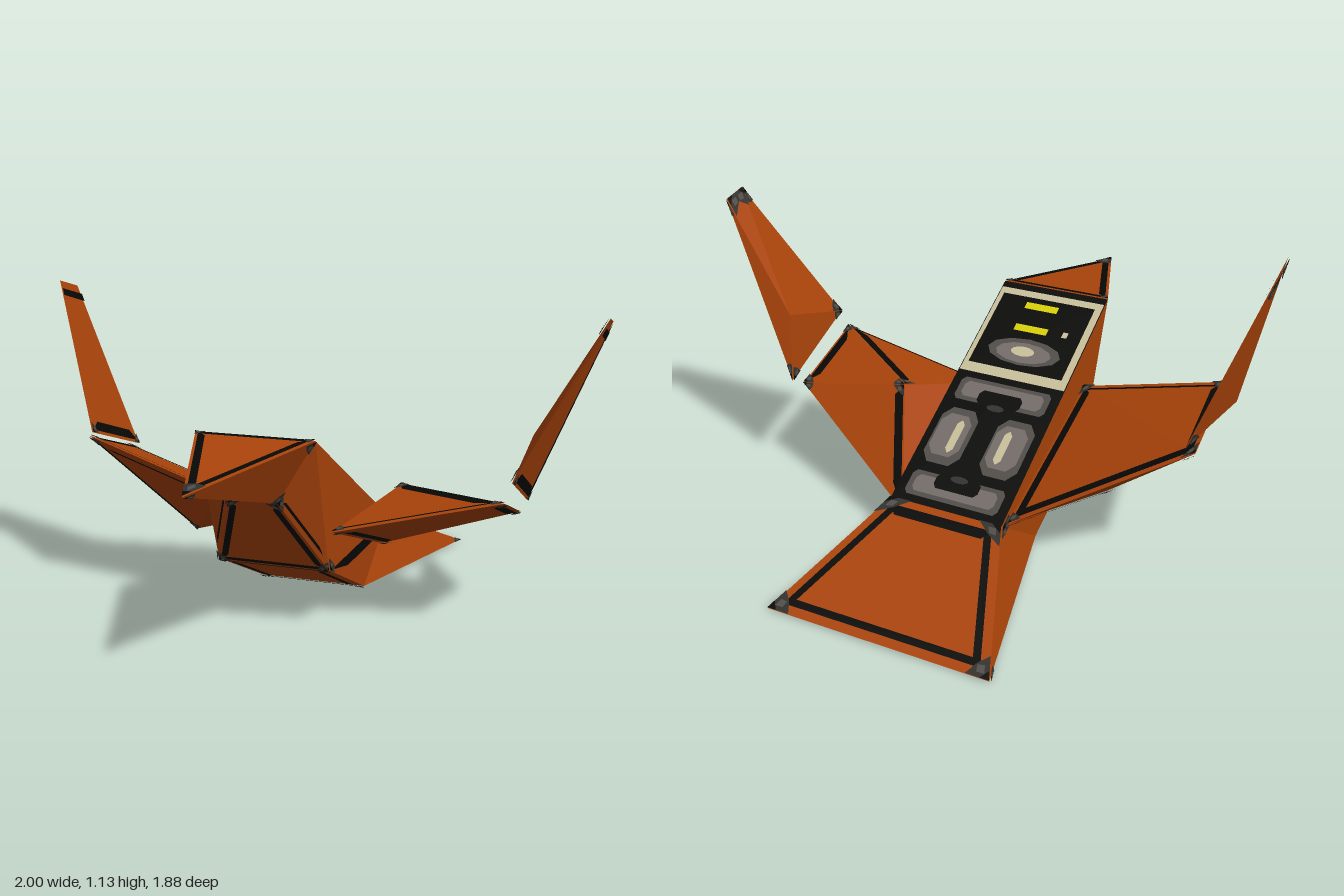
import * as THREE from 'three';

const mat = (name, color) => {
  const m = new THREE.MeshStandardMaterial({ color });
  m.name = name;
  return m;
};
const V = (x, y, z) => new THREE.Vector3(x, y, z);

export function createModel() {
  const orange = mat('orange paint', 0xab440a);
  const black = mat('black trim', 0x080807);
  const darkGrey = mat('dark grey', 0x32312d);
  const midGrey = mat('middle grey', 0x514d49);
  const grey = mat('grey', 0x746c68);
  const cream = mat('cream', 0xc8be9a);
  const yellow = mat('yellow', 0xd8ce06);

  const root = new THREE.Group();
  root.name = 'glider';

  // normal of a polygon, pointing away from the centre of its part
  const outward = (pts, centre) => {
    const n = pts[1].clone().sub(pts[0]).cross(pts[2].clone().sub(pts[0])).normalize();
    return n.dot(pts[0].clone().sub(centre)) < 0 ? n.negate() : n;
  };

  // flat convex polygon, wound outward and raised by h
  function polygon(parent, name, material, pts, n, h = 0) {
    const own = pts[1].clone().sub(pts[0]).cross(pts[2].clone().sub(pts[0]));
    const p = (own.dot(n) < 0 ? [...pts].reverse() : pts).map(v => v.clone().addScaledVector(n, h));
    const corners = [];
    for (let i = 1; i < p.length - 1; i++) corners.push(p[0], p[i], p[i + 1]);
    const g = new THREE.BufferGeometry().setFromPoints(corners);
    g.computeVertexNormals();
    const mesh = new THREE.Mesh(g, material);
    mesh.name = name;
    parent.add(mesh);
  }

  // point at distance d inside both edges meeting at corner i
  function inset(pts, i, d) {
    const k = pts.length, p = pts[i % k];
    const a = pts[(i + 1) % k].clone().sub(p).normalize();
    const b = pts[(i + k - 1) % k].clone().sub(p).normalize();
    const sin = a.clone().cross(b).length();
    return p.clone().addScaledVector(a.add(b), d / sin);
  }

  // black strips parallel to the chosen edges, from distance d0 to d1
  function border(parent, pts, n, d0, d1, edges = pts.map((_, i) => i)) {
    for (const i of edges) {
      polygon(parent, 'trim strip', black,
        [inset(pts, i, d0), inset(pts, i + 1, d0), inset(pts, i + 1, d1), inset(pts, i, d1)], n, 0.004);
    }
  }

  // corner plates: black tip, dark body and a grey spot
  function cornerCaps(parent, pts, n, size, which = pts.map((_, i) => i)) {
    const k = pts.length;
    for (const i of which) {
      const p = pts[i];
      const a = pts[(i + 1) % k].clone().sub(p).normalize();
      const b = pts[(i + k - 1) % k].clone().sub(p).normalize();
      const at = (s, t) => p.clone().addScaledVector(a, s * size).addScaledVector(b, t * size);
      polygon(parent, 'corner cap', darkGrey, [p, at(1, 0), at(0.55, 0.55), at(0, 1)], n, 0.005);
      polygon(parent, 'corner tip', black, [p, at(0.4, 0), at(0, 0.4)], n, 0.006);
      polygon(parent, 'corner spot', midGrey, [at(0.2, 0.2), at(0.55, 0.2), at(0.5, 0.5), at(0.2, 0.55)], n, 0.007);
    }
  }

  // painted shape given in the 0..1 coordinates of a quad
  function patch(parent, name, material, quad, n, shape, h) {
    const pts = shape.map(([u, v]) => quad[0].clone().lerp(quad[1], u)
      .lerp(quad[3].clone().lerp(quad[2], u), v));
    polygon(parent, name, material, pts, n, h);
  }
  const rect = (a, b, c, d) => [[a, b], [c, b], [c, d], [a, d]];
  const cut = (a, b, c, d, r = 0.03) => [[a + r, b], [c - r, b], [c, b + r], [c, d - r],
    [c - r, d], [a + r, d], [a, d - r], [a, b + r]];
  const oval = (x, y, rx, ry) => Array.from({ length: 12 }, (_, i) =>
    [x + rx * Math.cos(i * Math.PI / 6), y + ry * Math.sin(i * Math.PI / 6)]);

  // paired machinery cells, shared by the deck and the belly
  function machinery(parent, quad, n, v0, v1) {
    const add = (name, m, s, h) =>
      patch(parent, name, m, quad, n, s.map(([u, t]) => [u, v0 + t * (v1 - v0)]), h);
    for (const t of [0.06, 0.81]) {
      add('vent surround', midGrey, cut(0.08, t - 0.01, 0.92, t + 0.17), 0.002);
      add('vent', grey, cut(0.13, t + 0.02, 0.87, t + 0.14), 0.004);
      const s = t < 0.5 ? t + 0.07 : t - 0.02;
      add('vent slot', black, cut(0.3, s, 0.7, s + 0.11), 0.006);
    }
    for (const u of [0.24, 0.76]) {
      add('cell surround', midGrey, cut(u - 0.17, 0.3, u + 0.17, 0.73, 0.07), 0.003);
      add('cell', grey, cut(u - 0.13, 0.36, u + 0.15, 0.68, 0.06), 0.005);
      const c = u < 0.5 ? u + 0.04 : u - 0.04;
      add('cell light', cream, cut(c - 0.035, 0.39, c + 0.035, 0.64), 0.007);
    }
    for (const t of [0.22, 0.78]) add('rivet', darkGrey, oval(0.5, t, 0.08, 0.025), 0.008);
  }

  // ---- hull ----
  const hull = new THREE.Group();
  hull.name = 'hull';
  root.add(hull);
  const cx = -0.058;
  const mid = V(cx, 0.43, 0);
  const pair = (w, y, z) => [V(cx - w, y, z), V(cx + w, y, z)];
  const N = V(cx, 0.64, 0.935);
  const A = pair(0.207, 0.70, 0.38);   // nose back, top
  const C = pair(0.085, 0.49, 0.40);   // nose back, bottom
  const D = pair(0.2, 0.22, 0.22);     // chin
  const E = pair(0.2, 0.025, -0.2);    // keel
  const G = pair(0.207, 0.225, -0.48); // tail root
  const H = pair(0.397, 0.008, -0.94); // tail end
  const band = (p, q) => [p[0], p[1], q[1], q[0]];

  function panel(name, pts, material = orange, centre = mid) {
    const n = outward(pts, centre);
    polygon(hull, name, material, pts, n);
    return n;
  }
  const noseTop = [A[0], A[1], N];
  let n = panel('noseTop', noseTop);
  border(hull, noseTop, n, 0.002, 0.022, [0]);
  border(hull, noseTop, n, 0.01, 0.034, [1, 2]);
  cornerCaps(hull, noseTop, n, 0.035, [0, 1]);
  cornerCaps(hull, noseTop, n, 0.1, [2]);
  const noseBottom = [C[0], C[1], N];
  n = panel('noseBottom', noseBottom);
  cornerCaps(hull, noseBottom, n, 0.05);

  const neck = band(C, D);
  n = panel('neckFront', neck);
  border(hull, neck, n, 0.008, 0.03, [1, 3]);
  border(hull, neck, n, 0.004, 0.018, [2]);
  cornerCaps(hull, neck, n, 0.04);

  const chin = band(D, E);
  n = panel('chinPanel', chin);
  border(hull, chin, n, 0.03, 0.055, [1, 3]);
  border(hull, chin, n, 0.004, 0.022, [0, 2]);
  cornerCaps(hull, chin, n, 0.04);

  const tail = band(G, H);
  n = panel('tailTop', tail);
  border(hull, tail, n, 0.03, 0.055, [1, 2, 3]);
  border(hull, tail, n, 0.028, 0.065, [0]);
  cornerCaps(hull, tail, n, 0.08);

  for (const i of [0, 1]) {
    const noseSide = [A[i], C[i], N];
    n = panel('noseSide', noseSide);
    cornerCaps(hull, noseSide, n, 0.05);
    const neckSide = [A[i], C[i], D[i]];
    n = panel('neckSide', neckSide);
    border(hull, neckSide, n, 0.015, 0.024, [1]);
    cornerCaps(hull, neckSide, n, 0.035, [1, 2]);
    const bodySide = [A[i], G[i], D[i]];
    n = panel('bodySide', bodySide);
    cornerCaps(hull, bodySide, n, 0.05, [1, 2]);
    const lower = [D[i], G[i], E[i]];
    n = panel('lowerSide', lower);
    border(hull, lower, n, 0.004, 0.045, [0]);
    cornerCaps(hull, lower, n, 0.05, [0, 1]);
    const tailSide = [G[i], E[i], H[i]];
    n = panel('tailSide', tailSide, orange, V(cx, 0.12, -0.5));
    cornerCaps(hull, tailSide, n, 0.05, [0, 2]);
  }

  // deck with machinery behind and cockpit in front
  const deck = band(G, A);
  n = panel('deck', deck, black);
  machinery(hull, deck, n, 0.0, 0.55);
  patch(hull, 'cockpitFrame', cream, deck, n, rect(0.005, 0.565, 0.99, 0.97), 0.003);
  patch(hull, 'cockpitPanel', black, deck, n, rect(0.065, 0.605, 0.945, 0.94), 0.005);
  patch(hull, 'canopyRim', midGrey, deck, n, oval(0.5, 0.69, 0.34, 0.06), 0.006);
  patch(hull, 'canopy', grey, deck, n, oval(0.5, 0.685, 0.26, 0.045), 0.0075);
  patch(hull, 'canopyGlint', cream, deck, n, oval(0.51, 0.69, 0.11, 0.022), 0.009);
  for (const v of [0.78, 0.885]) {
    patch(hull, 'light bar', yellow, deck, n, rect(0.38, v, 0.69, v + 0.03), 0.007);
  }
  patch(hull, 'button', cream, deck, n, rect(0.19, 0.785, 0.24, 0.81), 0.007);

  // belly
  const belly = band(H, E);
  n = panel('belly', belly, black);
  machinery(hull, belly, n, 0.05, 0.95);

  // wing or fin: one flat quad with a peak on the other side
  function wedge(name, quad, peak) {
    const group = new THREE.Group();
    group.name = name;
    root.add(group);
    const centre = quad.reduce((s, p) => s.add(p), peak.clone()).multiplyScalar(0.2);
    const face = (label, pts) => {
      const normal = outward(pts, centre);
      polygon(group, label, orange, pts, normal);
      return { pts, normal };
    };
    const flat = face('flatSide', quad);
    const facets = quad.map((p, i) => face('facet', [p, quad[(i + 1) % 4], peak]));
    const trim = (f, d0, d1, edges) => border(group, f.pts, f.normal, d0, d1, edges);
    const caps = (f, size, which) => cornerCaps(group, f.pts, f.normal, size, which);
    return { group, flat, facets, trim, caps };
  }

  // quad order: root back, root front, tip front, tip back
  const leftWing = wedge('leftWing', [V(0.15, 0.13, -0.41), V(0.15, 0.35, 0.21),
    V(0.718, 0.49, 0.165), V(0.718, 0.38, -0.15)], V(0.30, 0.45, -0.12));
  leftWing.trim(leftWing.flat, 0.03, 0.065, [0]);
  leftWing.trim(leftWing.flat, 0.012, 0.045, [2]);
  leftWing.trim(leftWing.facets[1], 0.012, 0.02, [0]);
  const rightWing = wedge('rightWing', [V(-0.265, 0.21, -0.44), V(-0.265, 0.44, 0.18),
    V(-0.795, 0.595, 0.13), V(-0.805, 0.49, -0.2)], V(-0.48, 0.215, -0.1));
  rightWing.trim(rightWing.flat, 0.014, 0.042, [0, 2, 3]);
  rightWing.trim(rightWing.flat, 0.018, 0.026, [1]);
  rightWing.trim(rightWing.facets[1], 0.03, 0.04, [0]);
  for (const [w, width] of [[leftWing, 0.036], [rightWing, 0.018]]) {
    // ridge lines and tip strip on the peaked side
    w.trim(w.facets[1], 0.004, width, [1]);
    w.trim(w.facets[3], 0.004, width, [1]);
    w.trim(w.facets[2], 0.012, 0.045, [0]);
    w.caps(w.flat, 0.05);
    for (const f of w.facets.slice(1)) w.caps(f, 0.045);
  }

  // quad order: base back, base front, tip front, tip back
  const leftFin = wedge('leftFin', [V(0.73, 0.41, -0.2), V(0.735, 0.555, 0.145),
    V(0.995, 1.07, -0.065), V(0.995, 1.05, -0.155)], V(0.75, 0.65, -0.16));
  leftFin.trim(leftFin.flat, 0.01, 0.032, [3]);
  const rightFin = wedge('rightFin', [V(-0.77, 0.5, -0.2), V(-0.785, 0.61, 0.13),
    V(-0.997, 1.13, -0.055), V(-0.997, 1.10, -0.18)], V(-0.9, 0.66, -0.12));
  for (const f of [leftFin, rightFin]) {
    // base band and tip band on the flat side
    f.trim(f.flat, 0.01, 0.045, [0]);
    patch(f.group, 'tip band', black, f.flat.pts, f.flat.normal, rect(0, 0.9, 1, 0.945), 0.005);
    f.caps(f.flat, 0.04, [0, 1]);
    // darkened corners on the peaked side
    f.caps(f.facets[0], 0.05, [0, 1]);
    f.caps(f.facets[1], 0.06, [0, 1]);
    f.caps(f.facets[2], 0.07, [0, 1]);
    f.caps(f.facets[3], 0.06, [0, 1]);
  }
  return root;
}
